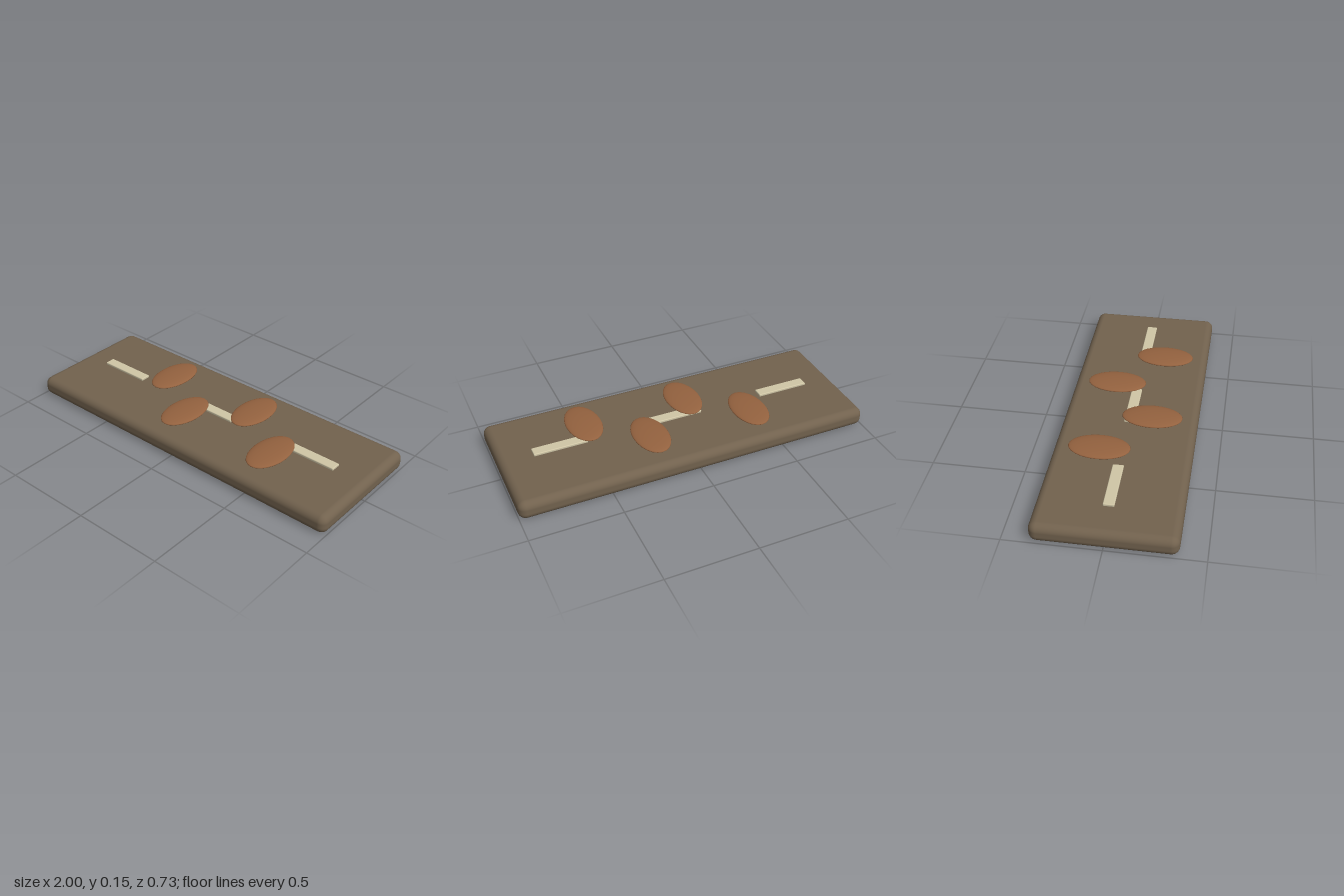
import * as THREE from 'three';
import { RoundedBoxGeometry } from 'three/addons/geometries/RoundedBoxGeometry.js';

function material(name, color) {
  const m = new THREE.MeshStandardMaterial({ color });
  m.name = name;
  return m;
}

export function createModel() {
  const group = new THREE.Group();
  const earth = material('earth brown', 0x72624e);
  const leather = material('russet brown', 0x94623f);
  const cream = material('cream', 0xd0c6a6);

  function add(name, geometry, mat, x, y, z) {
    const mesh = new THREE.Mesh(geometry, mat);
    mesh.name = name;
    mesh.position.set(x, y, z);
    group.add(mesh);
    return mesh;
  }

  // Rounded base slab
  add('slab', new RoundedBoxGeometry(2, 0.107, 0.732, 4, 0.042), earth, 0, 0.0535, 0);

  // Dashed centre line
  const dash = new RoundedBoxGeometry(0.3, 0.016, 0.058, 3, 0.005);
  for (const x of [-0.667, 0, 0.667]) add('centreDash', dash, cream, x, 0.121, 0);

  // Flattened ovals, alternating behind and in front of the line
  const oval = new THREE.SphereGeometry(1, 24, 16);
  oval.scale(0.098, 0.017, 0.165);
  [-0.396, -0.1, 0.196, 0.492].forEach((x, i) => {
    add('oval', oval, leather, x, 0.131, i % 2 ? 0.12 : -0.12);
  });

  return group;
}
